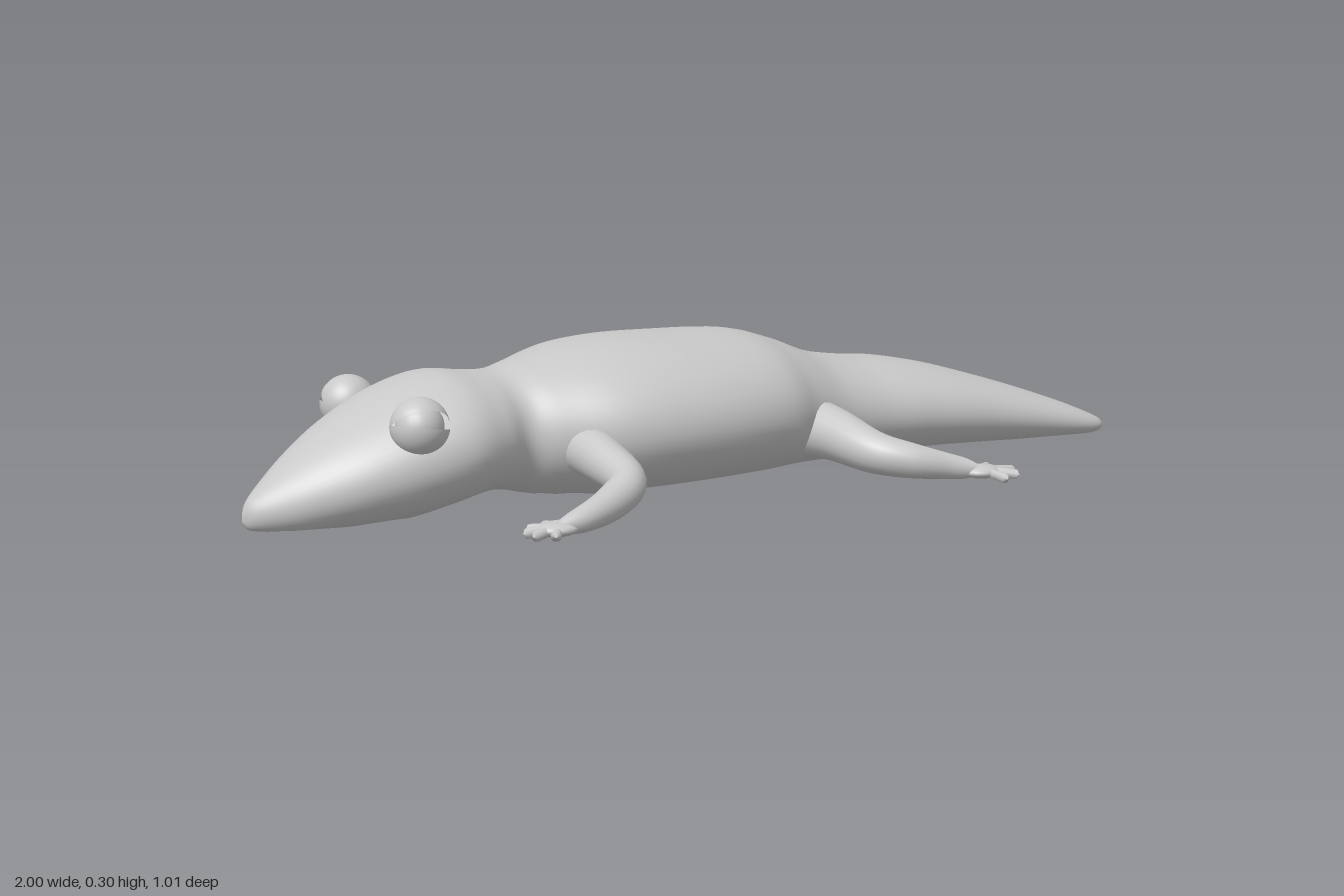
import * as THREE from 'three';

const skin = new THREE.MeshStandardMaterial({ color: 0xc8c8c8, side: THREE.DoubleSide });
skin.name = 'grey skin';

// Body stations: x, top height, underside height, side centre z, half width
const stations = [
  [-1, 0.035, 0.02, 0.02, 0], [-0.985, 0.062, 0.003, 0.02, 0.028], [-0.94, 0.1, -0.01, 0.017, 0.068],
  [-0.88, 0.143, -0.015, 0.013, 0.111], [-0.8, 0.19, -0.015, 0.007, 0.157], [-0.7, 0.237, -0.012, 0.002, 0.192],
  [-0.6, 0.263, 0.005, 0, 0.204], [-0.52, 0.256, 0.018, 0, 0.178], [-0.46, 0.254, 0.014, 0, 0.152],
  [-0.4, 0.268, 0, 0.004, 0.181], [-0.3, 0.29, -0.015, 0, 0.238], [-0.19, 0.299, -0.02, 0, 0.264],
  [-0.05, 0.296, -0.02, 0, 0.27], [0.1, 0.288, -0.02, 0, 0.25], [0.2, 0.262, -0.02, -0.004, 0.212],
  [0.3, 0.224, -0.02, 0, 0.182], [0.4, 0.205, -0.02, 0, 0.179], [0.5, 0.195, -0.02, 0.009, 0.182],
  [0.6, 0.176, -0.02, 0.03, 0.174], [0.7, 0.148, -0.018, 0.063, 0.15], [0.8, 0.115, -0.015, 0.108, 0.115],
  [0.9, 0.077, -0.01, 0.16, 0.073], [0.96, 0.05, -0.003, 0.192, 0.042], [0.99, 0.034, 0.005, 0.205, 0.02],
  [1, 0.02, 0.012, 0.208, 0],
];

const spline = (pts) => new THREE.CatmullRomCurve3(pts, false, 'catmullrom', 0.5);

// Lofted body with a flattened underside
function bodyGeometry(rows = 144, sides = 48) {
  const spine = spline(stations.map((s) => new THREE.Vector3(s[0], s[1], s[2])));
  const girth = spline(stations.map((s) => new THREE.Vector3(s[0], s[3], s[4])));
  const pos = [], index = [];
  for (let i = 0; i <= rows; i++) {
    const a = spine.getPoint(i / rows), b = girth.getPoint(i / rows);
    const mid = a.z + (a.y - a.z) * 0.48;
    for (let j = 0; j < sides; j++) {
      const t = (j / sides) * Math.PI * 2, s = Math.sin(t);
      const y = mid + s * (s > 0 ? a.y - mid : mid - a.z);
      pos.push(a.x, Math.max(0.004, y), b.y + Math.cos(t) * Math.max(0, b.z));
      if (i === rows) continue;
      const p = i * sides + j, q = i * sides + (j + 1) % sides;
      index.push(p, q, p + sides, q, q + sides, p + sides);
    }
  }
  const g = new THREE.BufferGeometry();
  g.setAttribute('position', new THREE.Float32BufferAttribute(pos, 3));
  g.setIndex(index);
  g.computeVertexNormals();
  return g;
}

// Tube whose radius changes along its path; points are [x, y, z, radius]
function taper(points, s, segs = 32, sides = 16) {
  const curve = new THREE.CatmullRomCurve3(points.map((p) => new THREE.Vector3(p[0], p[1], p[2] * s)));
  const radii = spline(points.map((p) => new THREE.Vector3(p[3], 0, 0)));
  const g = new THREE.TubeGeometry(curve, segs, 1, sides);
  const pos = g.attributes.position, v = new THREE.Vector3();
  for (let i = 0; i <= segs; i++) {
    const u = i / segs, c = curve.getPointAt(u);
    const end = Math.sqrt(Math.max(0, 1 - Math.max(0, (u - 0.88) / 0.12) ** 2));
    const r = Math.max(0, radii.getPoint(curve.getUtoTmapping(u)).x) * end;
    for (let j = 0; j <= sides; j++) {
      const k = i * (sides + 1) + j;
      v.fromBufferAttribute(pos, k).sub(c).multiplyScalar(r).add(c);
      pos.setXYZ(k, v.x, Math.max(0.003, v.y), v.z);
    }
  }
  return g;
}

function part(name, geometry, parent) {
  const m = new THREE.Mesh(geometry, skin);
  m.name = name;
  parent.add(m);
  return m;
}

// Limb with a flattened palm and five splayed toes
function limb(name, path, palm, tips, s, parent) {
  const g = new THREE.Group();
  g.name = name;
  part('leg', taper(path, s, 40, 20), g);
  const pad = new THREE.SphereGeometry(1, 20, 12);
  pad.scale(0.042, 0.014, 0.034);
  part('palm', pad, g).position.set(palm[0], 0.017, palm[1] * s);
  for (const [x, z] of tips) {
    const mx = palm[0] + (x - palm[0]) * 0.55, mz = palm[1] + (z - palm[1]) * 0.55;
    part('toe', taper([[palm[0], 0.017, palm[1], 0.011], [mx, 0.015, mz, 0.01],
      [x, 0.011, z, 0.011]], s, 14, 10), g);
  }
  parent.add(g);
}

// Bulging eye: split lid shell around a smaller eyeball
function eye(s, parent) {
  const g = new THREE.Group();
  g.name = s > 0 ? 'leftEye' : 'rightEye';
  const gap = 0.32;
  const lid = new THREE.SphereGeometry(0.056, 40, 24, s * Math.PI / 2 + gap, Math.PI * 2 - gap * 2);
  part('eyelids', lid.rotateZ(Math.PI / 2), g);
  part('eyeball', new THREE.SphereGeometry(0.046, 24, 16), g);
  g.position.set(-0.7, 0.188, s * 0.152);
  g.rotation.set(-s * 0.4, 0, -0.15);
  parent.add(g);
}

export function createModel() {
  const model = new THREE.Group();
  model.name = 'lizard';
  part('body', bodyGeometry(), model);
  for (const s of [1, -1]) {
    const side = s > 0 ? 'left' : 'right';
    eye(s, model);
    limb(side + 'FrontLeg', [
      [-0.35, 0.115, 0.13, 0.055], [-0.355, 0.098, 0.24, 0.046], [-0.362, 0.072, 0.335, 0.037],
      [-0.41, 0.05, 0.362, 0.034], [-0.49, 0.03, 0.383, 0.025], [-0.545, 0.018, 0.373, 0.016],
    ], [-0.535, 0.373], [[-0.535, 0.318], [-0.578, 0.328], [-0.6, 0.355], [-0.598, 0.387], [-0.565, 0.412]], s, model);
    limb(side + 'HindLeg', [
      [0.2, 0.09, 0.12, 0.07], [0.215, 0.085, 0.22, 0.056], [0.24, 0.06, 0.335, 0.043],
      [0.29, 0.047, 0.385, 0.036], [0.37, 0.03, 0.414, 0.026], [0.435, 0.018, 0.438, 0.018],
    ], [0.435, 0.437], [[0.435, 0.382], [0.492, 0.388], [0.515, 0.448], [0.492, 0.488], [0.443, 0.507]], s, model);
  }
  return model;
}
